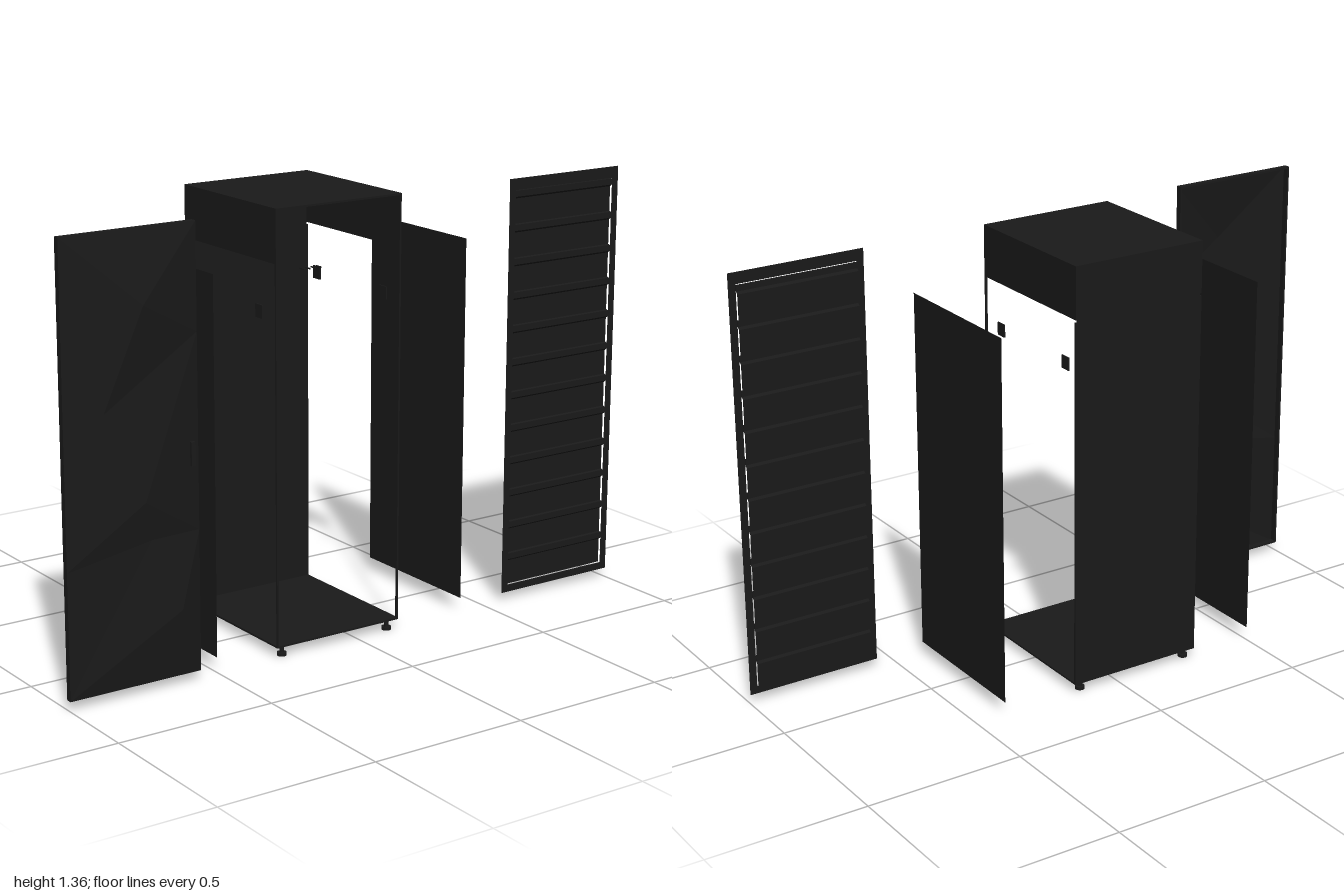
import * as THREE from 'three';

const dark = new THREE.MeshStandardMaterial({ color: 0x1a1a1a, side: THREE.DoubleSide, flatShading: true });

export function createModel() {
  const root = new THREE.Group();
  const add = (parent, name, geometry) => {
    const m = new THREE.Mesh(geometry, dark);
    m.name = name;
    parent.add(m);
    return m;
  };
  // box given by its two extreme corners
  const box = (parent, name, x0, x1, y0, y1, z0, z1) =>
    add(parent, name, new THREE.BoxGeometry(x1 - x0, y1 - y0, z1 - z0))
      .position.set((x0 + x1) / 2, (y0 + y1) / 2, (z0 + z1) / 2);
  const group = (name) => {
    const g = new THREE.Group();
    g.name = name;
    root.add(g);
    return g;
  };

  const BOT = 0.03, TOP = 1.355, SPLIT = 1.19;
  const X0 = -0.29, X1 = 0.155, Z0 = -0.272, Z1 = 0.218, T = 0.006;

  // Cabinet: open front and sides, closed back
  const cabinet = group('cabinet');
  box(cabinet, 'topPlate', X0, X1, TOP - T, TOP, Z0, Z1);
  box(cabinet, 'bottomPlate', X0, X1, BOT, BOT + T, Z0, Z1);
  box(cabinet, 'backWall', X0, X1, BOT, SPLIT - 0.004, Z0, Z0 + T);
  box(cabinet, 'backSeam', X0 + T, X1 - T, SPLIT - 0.004, SPLIT + 0.004, Z0, Z0 + T);
  box(cabinet, 'upperBackWall', X0, X1, SPLIT + 0.004, TOP, Z0, Z0 + T);
  for (const [x, inner] of [[X0, X0 + T], [X1, X1 - T]]) {
    const a = Math.min(x, inner), b = Math.max(x, inner);
    box(cabinet, 'upperSideBand', a, b, SPLIT + 0.004, TOP, Z0, Z1);
    box(cabinet, 'frontPost', a, b, BOT, TOP, Z1 - T, Z1);
  }

  // Panel clips near the top of each side opening
  for (const x of [-0.296, 0.146])
    for (const z of [-0.205, 0.14])
      box(cabinet, 'panelClip', x - 0.002, x + 0.002, 1.025, 1.065, z - 0.018, z + 0.018);

  // Levelling feet
  for (const x of [-0.265, 0.122])
    for (const z of [0.203, -0.247]) {
      add(cabinet, 'footStem', new THREE.CylinderGeometry(0.007, 0.007, 0.026, 12)).position.set(x, 0.02, z);
      add(cabinet, 'footPad', new THREE.CylinderGeometry(0.015, 0.015, 0.01, 16)).position.set(x, 0.005, z);
    }

  // Small indicator strips floating in front of the cabinet
  for (let i = 0; i < 4; i++) {
    const x = -0.213 + i * 0.019;
    box(root, 'indicatorStrip', x - 0.0015, x + 0.0015, 1.174, 1.178, 0.227, 0.25);
  }

  // Detached side panels, thin sheets
  for (const x of [-0.497, 0.405]) {
    const p = add(root, 'sidePanel', new THREE.PlaneGeometry(0.482, SPLIT - 0.045));
    p.rotation.y = Math.sign(x) * Math.PI / 2;
    p.position.set(x, (SPLIT + 0.045) / 2, -0.031);
  }

  // Front door with a faceted skin
  const door = group('frontDoor');
  const DX0 = -1, DX1 = -0.568, DZ = 0.235;
  const pts = {
    A: [DX0, TOP, DZ], B: [DX1, TOP, DZ], C: [DX1, BOT, DZ], D: [DX0, BOT, DZ],
    R: [DX1, 1.04, DZ], S: [DX1, 0.46, DZ], L: [DX0, 0.41, DZ],
    p: [-0.76, 1.145, 0.27], q: [-0.88, 0.85, 0.25], r: [-0.76, 0.58, 0.265],
    s: [-0.73, 0.46, 0.245], t: [-0.645, 0.24, 0.265],
  };
  const facets = 'ApB BpR Aqp ALq pqR qrR qLr RrS rsS rLs LDs sDt stS StC tDC';
  const skin = new THREE.BufferGeometry();
  skin.setAttribute('position', new THREE.Float32BufferAttribute(
    [...facets.replaceAll(' ', '')].flatMap((k) => pts[k]), 3));
  skin.computeVertexNormals();
  add(door, 'facetedSkin', skin);
  box(door, 'leftRim', DX1 - T, DX1, BOT, TOP, 0.216, DZ);
  box(door, 'rightRim', DX0, DX0 + T, BOT, TOP, 0.216, DZ);
  box(door, 'topRim', DX0, DX1, TOP - T, TOP, 0.216, DZ);
  box(door, 'bottomRim', DX0, DX1, BOT, BOT + T, 0.216, DZ);
  box(door, 'doorHandle', -0.598, -0.586, 0.655, 0.725, 0.236, 0.248);

  // Louvred rear door: flat frame around a ribbed sheet
  const louvre = group('louvredDoor');
  const LX0 = 0.566, LX1 = 1, M = 0.024;
  const rect = (S, a, b, c, d) => new S([[a, c], [b, c], [b, d], [a, d]].map((v) => new THREE.Vector2(...v)));
  const frame = rect(THREE.Shape, LX0, LX1, BOT, TOP);
  frame.holes.push(rect(THREE.Path, LX0 + M, LX1 - M, BOT + M, TOP - M * 1.5));
  add(louvre, 'doorFrame', new THREE.ShapeGeometry(frame)).position.z = 0.215;

  // Ribbed sheet: a closed profile of z against y, extruded across the door
  const n = 12, y0 = BOT + M, pitch = (TOP - M * 1.5 - y0) / n;
  const profile = [];
  for (let i = 0; i < n; i++)
    for (const [f, z] of [[0, 0.207], [0.74, 0.207], [0.8, 0.215], [0.98, 0.215]])
      profile.push(new THREE.Vector2(-z, y0 + (i + f) * pitch));
  const yEnd = y0 + n * pitch;
  profile.push(new THREE.Vector2(-0.207, yEnd));
  // back face repeats the steps so the sheet stays thin
  const back = profile.map((v) => new THREE.Vector2(v.x + 0.003, v.y)).reverse();
  const ribs = new THREE.ExtrudeGeometry(new THREE.Shape([...profile, ...back]),
    { depth: LX1 - LX0 - 2 * M, bevelEnabled: false });
  ribs.rotateY(Math.PI / 2);
  add(louvre, 'louvreSheet', ribs).position.x = LX0 + M;
  // rotation sends profile -z to +z, keeping ribs facing the front

  return root;
}
